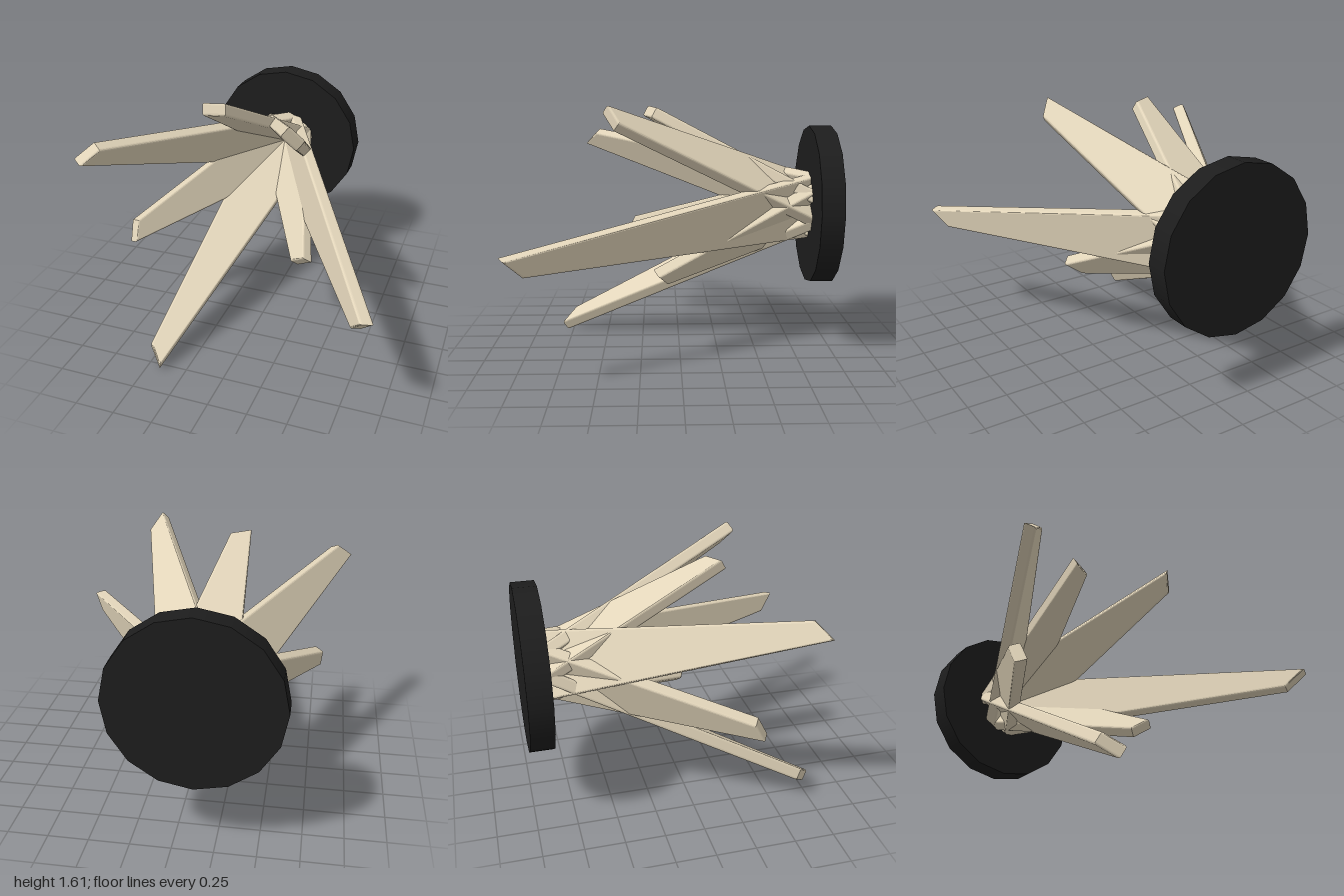
import * as THREE from 'three';

const wood = new THREE.MeshStandardMaterial({ color: 0xe2d5ba });
wood.name = 'pale wood';
const black = new THREE.MeshStandardMaterial({ color: 0x1d1d1d });
black.name = 'matt black';

const CX = -0.13, CY = 0.935, HUB_Z = -0.855; // point where all boards meet
const TILT = 0.503;                           // angle between boards and the hub axis
const BEVEL = 0.014, THICK = 0.078;

// Tapered board with a slanted tip, inner face on z = 0, running along +y
function boardGeometry(length) {
  const base = 0.217, tip = 0.061, back = 0.04, slant = length * 0.027;
  const shape = new THREE.Shape([
    new THREE.Vector2(-base, -back),
    new THREE.Vector2(base, -back),
    new THREE.Vector2(tip, length + slant),
    new THREE.Vector2(-tip, length - slant),
  ]);
  const geo = new THREE.ExtrudeGeometry(shape, {
    depth: THICK - 2 * BEVEL,
    bevelEnabled: true,
    bevelThickness: BEVEL,
    bevelSize: BEVEL,
    bevelOffset: -BEVEL,
    bevelSegments: 3,
  });
  return geo.translate(0, 0, BEVEL);
}

export function createModel() {
  const group = new THREE.Group();
  group.name = 'wallBurst';

  // Sixteen-sided wall plate
  const plate = new THREE.Mesh(new THREE.CylinderGeometry(0.52, 0.52, 0.145, 16), black);
  plate.name = 'wallPlate';
  plate.rotation.x = Math.PI / 2;
  plate.position.set(CX, CY, -0.9285);
  group.add(plate);

  // Boards fanning out of the hub: [angle around the hub in degrees, reach of the tip]
  const boards = [
    [-10.6, 1.0], [52.5, 0.712], [100.6, 0.586], [152, 0.822],
    [201.5, 0.662], [249.6, 0.9], [318, 0.549],
  ];
  const s = Math.sin(TILT), c = Math.cos(TILT);
  boards.forEach(([deg, reach], i) => {
    const a = THREE.MathUtils.degToRad(deg);
    const across = new THREE.Vector3(-Math.sin(a), Math.cos(a), 0);
    const along = new THREE.Vector3(Math.cos(a) * s, Math.sin(a) * s, c);
    const outward = new THREE.Vector3().crossVectors(across, along);
    const board = new THREE.Mesh(boardGeometry(reach / s), wood);
    board.name = 'board' + (i + 1);
    board.quaternion.setFromRotationMatrix(new THREE.Matrix4().makeBasis(across, along, outward));
    board.position.set(CX, CY, HUB_Z);
    group.add(board);
  });

  return group;
}
